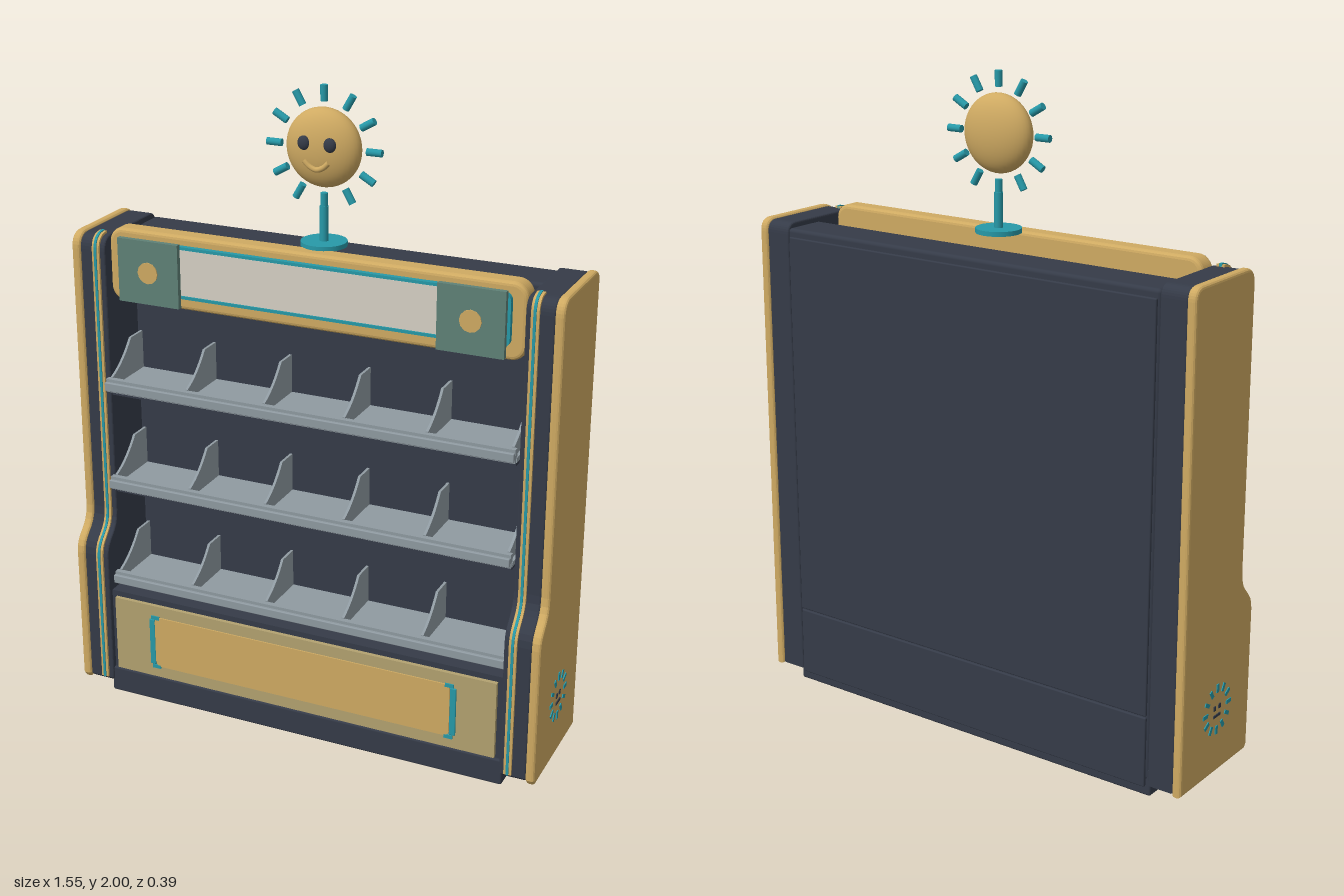
import * as THREE from 'three';
import { RoundedBoxGeometry } from 'three/addons/geometries/RoundedBoxGeometry.js';

const mat = (name, color) => {
  const m = new THREE.MeshStandardMaterial({ color });
  m.name = name;
  return m;
};

export function createModel() {
  const gold = mat('gold', 0xcfaa62);
  const khaki = mat('khaki', 0xb3a270);
  const dark = mat('charcoal', 0x353b48);
  const grey = mat('shelf grey', 0x8f9aa1);
  const teal = mat('teal', 0x2799a8);
  const cream = mat('sign cream', 0xd6d0c4);
  const plate = mat('plate green', 0x5f8177);

  const root = new THREE.Group();
  root.name = 'displayShelf';
  const add = (name, geo, material, x = 0, y = 0, z = 0, parent = root) => {
    const m = new THREE.Mesh(geo, material);
    m.name = name;
    m.position.set(x, y, z);
    parent.add(m);
    return m;
  };
  // box given by its limits on each axis
  const box = (name, material, x0, x1, y0, y1, z0, z1, r = 0) => {
    const s = [x1 - x0, y1 - y0, z1 - z0];
    const geo = r ? new RoundedBoxGeometry(...s, 2, r) : new THREE.BoxGeometry(...s);
    return add(name, geo, material, (x0 + x1) / 2, (y0 + y1) / 2, (z0 + z1) / 2);
  };
  // rounded rectangle centred on x = 0
  const roundRect = (C, hw, y0, y1, r) => {
    const s = new C();
    s.moveTo(-hw + r, y0);
    s.lineTo(hw - r, y0);
    s.absarc(hw - r, y0 + r, r, -Math.PI / 2, 0, false);
    s.absarc(hw - r, y1 - r, r, 0, Math.PI / 2, false);
    s.absarc(-hw + r, y1 - r, r, Math.PI / 2, Math.PI, false);
    s.absarc(-hw + r, y0 + r, r, Math.PI, Math.PI * 1.5, false);
    return s;
  };
  const extrude = (shape, depth, bevel = 0) => {
    const geo = new THREE.ExtrudeGeometry(shape, {
      depth: depth - 2 * bevel, curveSegments: 8, bevelEnabled: bevel > 0,
      bevelSize: bevel, bevelThickness: bevel, bevelOffset: -bevel, bevelSegments: 3,
    });
    return geo.translate(0, 0, bevel);
  };
  // side profile (z, y) extruded from x0 to x1
  const across = (name, shape, material, x0, x1, bevel) => {
    const geo = extrude(shape, x1 - x0, bevel).rotateY(-Math.PI / 2).translate(x1, 0, 0);
    return add(name, geo, material);
  };

  // front edge of the side walls, bottom to top
  const frontEdge = (s, d) => {
    s.lineTo(0.19 + d, 0.48);
    s.bezierCurveTo(0.19 + d, 0.55, 0.125 + d, 0.54, 0.125 + d, 0.62);
    s.lineTo(0.125 + d, 1.465);
    s.quadraticCurveTo(0.125 + d, 1.515 + d, 0.075, 1.515 + d);
  };
  const wallShape = (d) => {
    const s = new THREE.Shape();
    s.moveTo(-0.195 - d, 0.03 - d);
    s.lineTo(0.18 + d, 0.03 - d);
    s.lineTo(0.19 + d, 0.045);
    frontEdge(s, d);
    s.lineTo(-0.155, 1.515 + d);
    s.quadraticCurveTo(-0.195 - d, 1.515 + d, -0.195 - d, 1.475);
    s.closePath();
    return s;
  };
  const trimShape = (d) => {
    const s = new THREE.Shape();
    s.moveTo(0.15, 0.05);
    s.lineTo(0.19 + d, 0.05);
    frontEdge(s, d);
    s.lineTo(0.075, 1.47);
    s.lineTo(0.09, 0.62);
    s.lineTo(0.15, 0.48);
    s.closePath();
    return s;
  };

  // side walls with their trims and sun emblems
  for (const side of [-1, 1]) {
    const span = (a, b) => (side > 0 ? [a, b] : [-b, -a]);
    const label = side > 0 ? 'left' : 'right';
    across(label + 'OuterPanel', wallShape(0), gold, ...span(0.74, 0.77), 0.01);
    across(label + 'Column', wallShape(-0.005), dark, ...span(0.657, 0.742), 0.006);
    across(label + 'Trim', trimShape(0.002), gold, ...span(0.674, 0.698));
    across(label + 'LightStrip', trimShape(0.005), teal, ...span(0.682, 0.69));

    const emblem = new THREE.Group();
    emblem.name = label + 'Emblem';
    emblem.position.set(side * 0.7705, 0.235, -0.003);
    emblem.rotation.y = side * Math.PI / 2;
    root.add(emblem);
    for (let i = 0; i < 12; i++) {
      const a = (i * Math.PI) / 6;
      const ray = add('emblemRay', new THREE.BoxGeometry(0.012, 0.026, 0.005), teal,
        Math.sin(a) * 0.066, Math.cos(a) * 0.066, 0, emblem);
      ray.rotation.z = -a;
    }
    add('emblemMouth', new THREE.BoxGeometry(0.04, 0.008, 0.005), dark, 0, -0.02, 0, emblem);
    for (const e of [-1, 1])
      add('emblemEye', new THREE.BoxGeometry(0.01, 0.014, 0.005), dark, e * 0.014, 0.006, 0, emblem);
  }

  // cabinet body
  box('plinth', dark, -0.665, 0.665, 0, 0.085, -0.187, 0.18, 0.006);
  box('backBody', dark, -0.66, 0.66, 0.05, 1.495, -0.19, -0.05, 0.012);
  box('upperBackPanel', dark, -0.65, 0.65, 0.252, 1.47, -0.197, -0.185, 0.004);
  box('lowerBackPanel', dark, -0.65, 0.65, 0.03, 0.248, -0.197, -0.185, 0.004);
  box('lowerCabinet', dark, -0.657, 0.657, 0.08, 0.36, -0.06, 0.17);

  // lower front panel with rounded inset and teal brackets
  box('frontPanel', khaki, -0.64, 0.64, 0.09, 0.342, 0.165, 0.183);
  add('frontInset', extrude(roundRect(THREE.Shape, 0.497, 0.13, 0.305, 0.02), 0.005), gold, 0, 0, 0.182);
  for (const s of [-1, 1]) {
    box('panelBracket', teal, s * 0.507 - 0.01, s * 0.507 + 0.01, 0.135, 0.295, 0.18, 0.187, 0.003);
    for (const y of [0.128, 0.302])
      box('bracketTip', teal, s * 0.495 - 0.014, s * 0.495 + 0.014, y - 0.006, y + 0.006, 0.18, 0.1872);
  }

  // shelves with curved dividers
  const divider = new THREE.Shape();
  divider.moveTo(-0.05, 0);
  divider.lineTo(0.135, 0);
  divider.lineTo(0.135, 0.035);
  divider.quadraticCurveTo(0.07, 0.06, 0.02, 0.125);
  divider.lineTo(-0.05, 0.125);
  divider.closePath();
  for (const y of [0.375, 0.705, 1.03]) {
    box('shelfDeck', grey, -0.657, 0.657, y, y + 0.015, -0.05, 0.14);
    box('shelfLip', grey, -0.655, 0.655, y, y + 0.042, 0.132, 0.15);
    box('priceRail', grey, -0.655, 0.655, y + 0.006, y + 0.034, 0.15, 0.162, 0.003);
    box('shelfSupport', dark, -0.65, 0.65, y - 0.018, y, -0.05, 0.125);
    box('shelfLight', teal, -0.62, 0.62, y - 0.026, y - 0.018, 0.095, 0.107);
    for (const x of [-0.643, -0.386, -0.129, 0.129, 0.386, 0.643])
      across('divider', divider, grey, x - 0.004, x + 0.004).position.y = y + 0.01;
  }

  // header sign
  add('header', extrude(roundRect(THREE.Shape, 0.655, 1.31, 1.537, 0.045), 0.065, 0.012), gold, 0, 0, 0.03);
  const rim = roundRect(THREE.Shape, 0.612, 1.35, 1.51, 0.025);
  rim.holes.push(roundRect(THREE.Path, 0.603, 1.359, 1.501, 0.02));
  add('headerRim', extrude(rim, 0.018), teal, 0, 0, 0.093);
  add('signFace', extrude(roundRect(THREE.Shape, 0.602, 1.36, 1.5, 0.02), 0.016), cream, 0, 0, 0.093);
  for (const s of [-1, 1]) {
    box('signPlate', plate, s * 0.505 - 0.1, s * 0.505 + 0.1, 1.325, 1.52, 0.117, 0.133);
    const dot = add('plateDot', new THREE.CylinderGeometry(0.033, 0.033, 0.005, 12), gold, s * 0.505, 1.423, 0.134);
    dot.rotation.x = Math.PI / 2;
  }

  // sun topper
  const sun = new THREE.Group();
  sun.name = 'sunTopper';
  sun.position.set(0, 1.822, -0.01);
  root.add(sun);
  add('sunBase', new THREE.CylinderGeometry(0.068, 0.068, 0.014, 32), teal, 0, -0.28, 0, sun);
  add('sunPole', new THREE.CylinderGeometry(0.013, 0.013, 0.11, 16), teal, 0, -0.225, 0, sun);
  add('sunBody', new THREE.SphereGeometry(0.115, 40, 24), gold, 0, 0, 0, sun).scale.z = 0.48;
  for (let i = 0; i < 12; i++) {
    const a = (i * Math.PI) / 6;
    const ray = add('sunRay', new THREE.CylinderGeometry(0.011, 0.011, 0.046, 12), teal,
      Math.sin(a) * 0.155, Math.cos(a) * 0.155, 0, sun);
    ray.rotation.z = -a;
  }
  for (const e of [-1, 1]) {
    const eye = add('sunEye', new THREE.SphereGeometry(0.019, 16, 12), dark, e * 0.04, 0.02, 0.05, sun);
    eye.scale.set(1, 1.1, 0.6);
  }
  const smile = new THREE.CatmullRomCurve3(
    [[-0.038, -0.03], [-0.02, -0.046], [0, -0.053], [0.02, -0.046], [0.038, -0.03]]
      .map(([x, y]) => new THREE.Vector3(x, y, 0.053)));
  add('sunSmile', new THREE.TubeGeometry(smile, 16, 0.008, 8), gold, 0, 0, 0, sun);

  return root;
}
